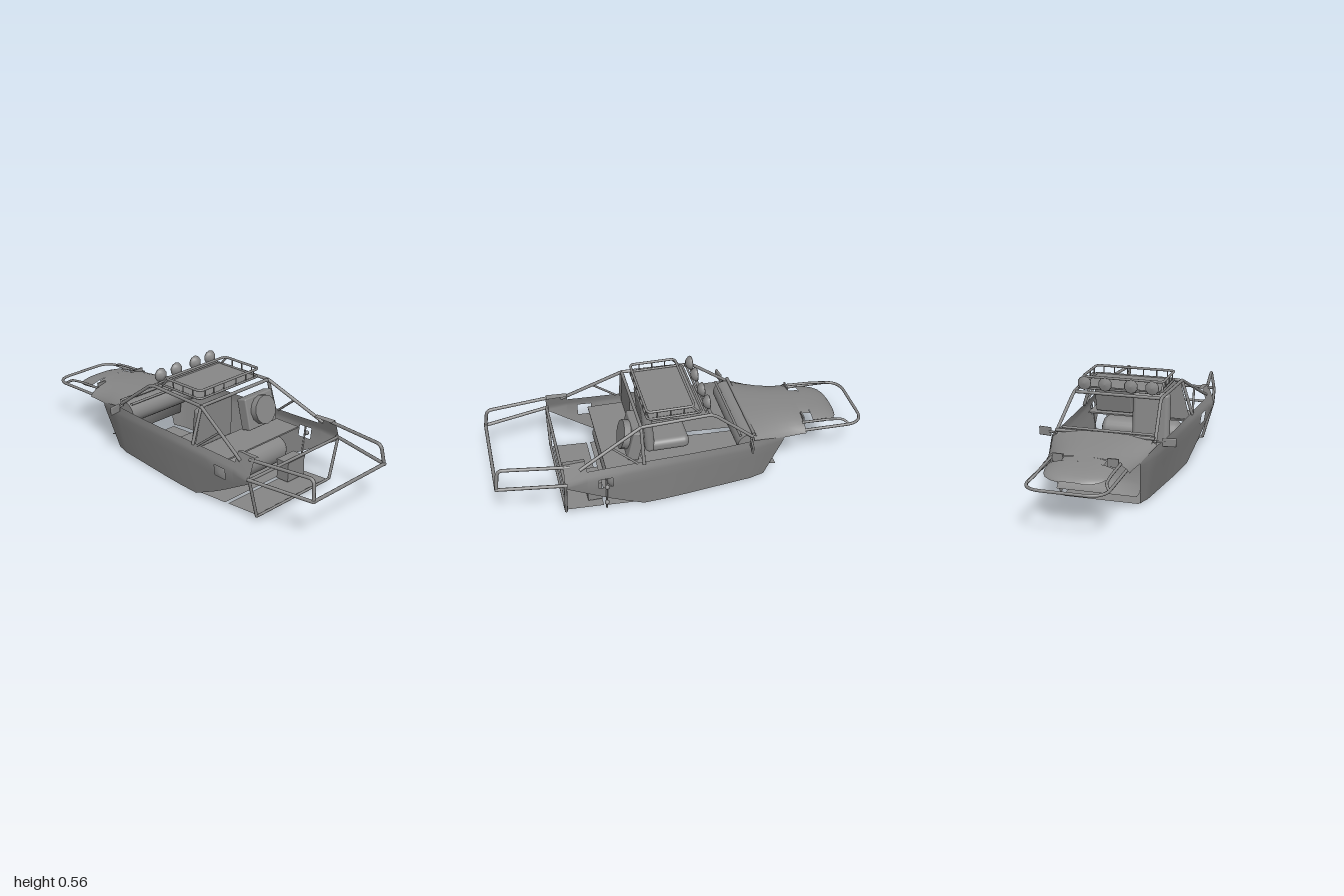
import * as THREE from 'three';
import { RoundedBoxGeometry } from 'three/addons/geometries/RoundedBoxGeometry.js';

export function createModel() {
  const root = new THREE.Group();
  const grey = new THREE.MeshStandardMaterial({ color: 0x888888, side: THREE.DoubleSide });
  grey.name = 'grey';

  const add = (name, geo, x = 0, y = 0, z = 0) => {
    const m = new THREE.Mesh(geo, grey);
    m.name = name;
    m.position.set(x, y, z);
    root.add(m);
    return m;
  };
  const box = (name, x0, x1, y0, y1, z0, z1) =>
    add(name, new THREE.BoxGeometry(x1 - x0, y1 - y0, z1 - z0), (x0 + x1) / 2, (y0 + y1) / 2, (z0 + z1) / 2);

  // Smooth-bend pipe through points: straight runs with small rounded corners
  const pipe = (name, pts, r = 0.009, bend = 0.025) => {
    const v = pts.map(p => new THREE.Vector3(...p));
    const path = new THREE.CurvePath();
    let from = v[0];
    for (let i = 1; i < v.length - 1; i++) {
      const a = v[i].clone().add(v[i - 1].clone().sub(v[i]).setLength(bend));
      const b = v[i].clone().add(v[i + 1].clone().sub(v[i]).setLength(bend));
      path.add(new THREE.LineCurve3(from, a));
      path.add(new THREE.QuadraticBezierCurve3(a, v[i], b));
      from = b;
    }
    path.add(new THREE.LineCurve3(from, v[v.length - 1]));
    return add(name, new THREE.TubeGeometry(path, v.length > 2 ? 24 * v.length : 1, r, 8));
  };
  const pipePair = (name, pts, r, bend) => {
    for (const s of [1, -1]) pipe(name, pts.map(([x, y, z]) => [s * x, y, z]), r, bend);
  };

  // Surface through rows of points; skip leaves out cells, flip turns the faces
  const loft = (name, rows, { skip = () => false, flip = false } = {}) => {
    const n = rows[0].length, idx = [];
    for (let i = 0; i < rows.length - 1; i++)
      for (let j = 0; j < n - 1; j++) {
        if (skip(i, j)) continue;
        const a = i * n + j, b = a + n;
        if (flip) idx.push(a, b, a + 1, b, b + 1, a + 1);
        else idx.push(a, a + 1, b, b, a + 1, b + 1);
      }
    const g = new THREE.BufferGeometry();
    g.setAttribute('position', new THREE.Float32BufferAttribute(rows.flat(2), 3));
    g.setIndex(idx);
    g.computeVertexNormals();
    return add(name, g);
  };

  // Body sides: stations along z [z, bottom, top], widest near y = 0.25, with a small opening at the rear
  const { lerp, smoothstep } = THREE.MathUtils;
  const stations = [[-0.53, 0.015, 0.262], [-0.44, 0.015, 0.288], [-0.36, 0.013, 0.308], [-0.2, 0.009, 0.302],
    [0, 0.006, 0.3], [0.12, 0.006, 0.3], [0.24, 0.008, 0.3], [0.34, 0.056, 0.3], [0.405, 0.088, 0.3],
    [0.48, 0.13, 0.3], [0.535, 0.162, 0.3], [0.54, 0.165, 0.355], [0.652, 0.23, 0.355]];
  const sideX = (z, y) => {
    const mid = z > -0.36 ? lerp(0.28, 0.345, (z + 0.36) / 1.01) : lerp(0.28, 0.235, (-0.36 - z) / 0.17);
    return mid - (y < 0.25
      ? (0.25 - y) * lerp(0.22, 0.13, smoothstep(z, -0.45, 0.24))
      : (y - 0.25) * 0.36 * smoothstep(z, -0.3, 0.55));
  };
  for (const s of [1, -1]) {
    const rows = stations.map(([t, bottom, top]) =>
      [bottom, lerp(bottom, 0.185, 0.5), 0.185, 0.245, 0.27, top].map(h => {
        const y = Math.min(Math.max(h, bottom), top);
        const z = t > -0.36 ? t : lerp(-0.36, lerp(-0.43, -0.53, Math.min(1, y / 0.25)), (-0.36 - t) / 0.17);
        return [s * sideX(z, y), y, z];
      }));
    loft('bodySide', rows, { skip: (i, j) => i === 8 && j === 2, flip: s > 0 });
    // Folded-in top of the rear quarter
    loft('rearQuarterTop', [0.54, 0.652].map(z => [[s * sideX(z, 0.355), 0.355, z], [s * 0.275, 0.35, z]]));
  }

  // Hood and nose: arched sections [z, half width, crown, edge]
  const arch = ([z, w, top, edge]) => Array.from({ length: 17 }, (_, i) => {
    const c = Math.cos(Math.PI * i / 16);
    return [w * c, edge + (top - edge) * Math.pow(1 - Math.pow(Math.abs(c), 3), 0.7), z];
  });
  loft('hood', [[-0.355, 0.278, 0.347, 0.298], [-0.42, 0.262, 0.342, 0.284], [-0.5, 0.242, 0.336, 0.266],
    [-0.56, 0.229, 0.33, 0.258], [-0.61, 0.222, 0.325, 0.256], [-0.66, 0.221, 0.318, 0.256]].map(arch));
  loft('noseNeck', [[-0.66, 0.108, 0.318, 0.306], [-0.715, 0.108, 0.312, 0.3]].map(arch));
  loft('nose', [[-0.715, 0.17, 0.312, 0.282], [-0.77, 0.167, 0.304, 0.275], [-0.81, 0.157, 0.295, 0.27],
    [-0.84, 0.138, 0.285, 0.265], [-0.86, 0.105, 0.273, 0.26], [-0.87, 0.06, 0.262, 0.257]].map(arch));
  for (const s of [1, -1])
    box('headlightPlate', s * 0.14 - 0.028, s * 0.14 + 0.028, 0.28, 0.322, -0.664, -0.656);

  // Floor plates [z, half width, y], narrower towards the nose
  const floor = (...ends) =>
    loft('floorPlate', ends.map(([z, w, y]) => [[w, y, z], [-w, y, z]]), { flip: true });
  floor([-0.43, 0.2, 0.01], [-0.2, 0.215, 0.006], [0.02, 0.235, 0.004], [0.21, 0.255, 0.006]);
  floor([0.24, 0.272, 0.01], [0.43, 0.272, 0.02]);
  floor([0.45, 0.27, 0.021], [0.64, 0.27, 0.03]);
  loft('footPlate', [[-0.5, 0.075, 0.21], [-0.4, 0.1, 0.225], [-0.4, 0.28, 0.25]]
    .map(([z, y, w]) => [[w, y, z], [-w, y, z]]));

  // Dashboard
  const dash = add('dashboard', new THREE.CylinderGeometry(0.062, 0.062, 0.5, 24), 0, 0.265, -0.335);
  dash.rotation.z = Math.PI / 2;

  // Driver seat
  add('seatCushion', new RoundedBoxGeometry(0.21, 0.07, 0.22, 4, 0.03), -0.105, 0.13, 0.03);
  const back = add('seatBack', new RoundedBoxGeometry(0.21, 0.33, 0.055, 4, 0.026), -0.105, 0.262, 0.15);
  back.rotation.x = 0.08;

  // Rear bulkhead, shelf and cargo
  loft('rearBulkhead', [[[-0.245, 0.47, 0.24], [-0.03, 0.47, 0.24]], [[-0.3, 0.26, 0.24], [-0.03, 0.26, 0.24]]]);
  box('rearShelf', -0.285, 0.285, 0.248, 0.256, 0.235, 0.43);
  const crate = add('fanBox', new RoundedBoxGeometry(0.21, 0.17, 0.06, 2, 0.008), 0.14, 0.35, 0.265);
  crate.rotation.x = -0.24;
  const disc = add('fanDisc', new THREE.CylinderGeometry(0.077, 0.077, 0.04, 12), 0.14, 0.364, 0.308);
  disc.rotation.x = Math.PI / 2 - 0.24;
  const tank = add('fuelTank', new THREE.LatheGeometry([[0, -0.235], [0.035, -0.232], [0.058, -0.222], [0.075, -0.195],
    [0.075, 0.195], [0.058, 0.222], [0.035, 0.232], [0, 0.235]].map(p => new THREE.Vector2(...p)), 24), 0, 0.136, 0.35);
  tank.rotation.z = Math.PI / 2;
  box('batteryBox', 0.098, 0.227, 0.03, 0.132, 0.45, 0.525);
  box('batteryLid', 0.096, 0.229, 0.132, 0.14, 0.448, 0.527);

  // Small fittings by the right-hand opening
  pipe('fillerRod', [[0.3, 0.03, 0.44], [0.31, 0.08, 0.44], [0.335, 0.25, 0.44]], 0.005);
  for (const [x, y] of [[0.345, 0.203], [0.318, 0.08]])
    add('fillerCap', new THREE.SphereGeometry(0.013, 8, 6), x, y, 0.44);

  // Roll cage
  pipe('mainHoop', [[0.312, 0.29, 0.24], [0.252, 0.48, 0.24], [-0.252, 0.48, 0.24], [-0.312, 0.29, 0.24]]);
  pipePair('roofRail', [[0.252, 0.48, 0.24], [0.235, 0.482, -0.14], [0.262, 0.32, -0.35]], 0.009, 0.035);
  pipe('windscreenTop', [[0.235, 0.478, -0.13], [-0.235, 0.478, -0.13]]);
  pipe('windscreenBase', [[0.262, 0.335, -0.355], [-0.262, 0.335, -0.355]]);
  pipe('dashBar', [[0.25, 0.33, -0.285], [-0.25, 0.33, -0.285]], 0.007);
  pipePair('rearBrace', [[0.252, 0.48, 0.24], [0.315, 0.315, 0.57]]);
  pipePair('innerBrace', [[0.283, 0.4, 0.4], [0.308, 0.295, 0.27]], 0.006);
  pipePair('rearPost', [[0.342, 0.25, 0.65], [0.282, 0.03, 0.65]], 0.008);
  pipe('rearLowerBar', [[0.282, 0.03, 0.65], [-0.282, 0.03, 0.65]], 0.007);
  pipe('rearCrossBar', [[0.342, 0.25, 0.65], [-0.342, 0.25, 0.65]], 0.008);

  // Rear bumper frame
  pipePair('bumperLowerRail', [[0.342, 0.25, 0.64], [0.275, 0.236, 0.99]]);
  pipePair('bumperUpperRail', [[0.308, 0.338, 0.62], [0.258, 0.343, 0.975], [0.275, 0.23, 0.99]], 0.009, 0.03);
  pipe('rearBumper', [[0.28, 0.238, 0.99], [-0.28, 0.238, 0.99]]);

  // Front bumper loop and its upper struts
  pipe('frontBumper', [[0.2, 0.262, -0.62], [0.2, 0.256, -0.992], [-0.2, 0.256, -0.992], [-0.2, 0.262, -0.62]], 0.008, 0.1);
  pipePair('bumperStrut', [[0.175, 0.296, -0.65], [0.173, 0.29, -0.8], [0.175, 0.28, -0.88], [0.198, 0.258, -0.91]], 0.007, 0.02);

  // Wing mirrors
  for (const s of [1, -1]) {
    const m = add('wingMirror', new RoundedBoxGeometry(0.07, 0.046, 0.012, 2, 0.005), s * 0.329, 0.313, -0.325);
    m.rotation.y = s * -0.15;
    pipe('mirrorArm', [[s * 0.265, 0.315, -0.34], [s * 0.31, 0.315, -0.33]], 0.006);
  }

  // Roof rack: tray, two rails, posts
  box('rackTray', -0.21, 0.21, 0.49, 0.497, -0.085, 0.19);
  for (const [y, r, zf] of [[0.496, 0.006, -0.085], [0.54, 0.007, -0.045]])
    pipe('rackRail', [[0, y, 0.2], [0.22, y, 0.2], [0.22, y, zf], [-0.22, y, zf], [-0.22, y, 0.2], [0, y, 0.2]], r, 0.025);
  pipePair('rackFrontCorner', [[0.22, 0.54, -0.03], [0.22, 0.496, -0.07]], 0.006);
  for (const x of [-0.18, -0.12, -0.045, 0.045, 0.12, 0.18])
    pipe('rackPost', [[x, 0.495, 0.2], [x, 0.54, 0.2]], 0.0035);
  for (const z of [0.15, 0.08, 0.01])
    pipePair('rackPost', [[0.22, 0.495, z], [0.22, 0.54, z]], 0.0035);
  pipe('lightBar', [[-0.22, 0.495, -0.105], [0.22, 0.495, -0.105]], 0.006);

  // Roof lights facing the nose
  const bowl = [[0, -0.022], [0.02, -0.018], [0.033, -0.005], [0.038, 0.008], [0.034, 0.014], [0, 0.019]]
    .map(p => new THREE.Vector2(...p));
  for (const x of [-0.183, -0.07, 0.07, 0.183]) {
    const l = add('roofLight', new THREE.LatheGeometry(bowl, 10), x, 0.527, -0.118);
    l.rotation.x = -Math.PI / 2;
  }
  return root;
}
